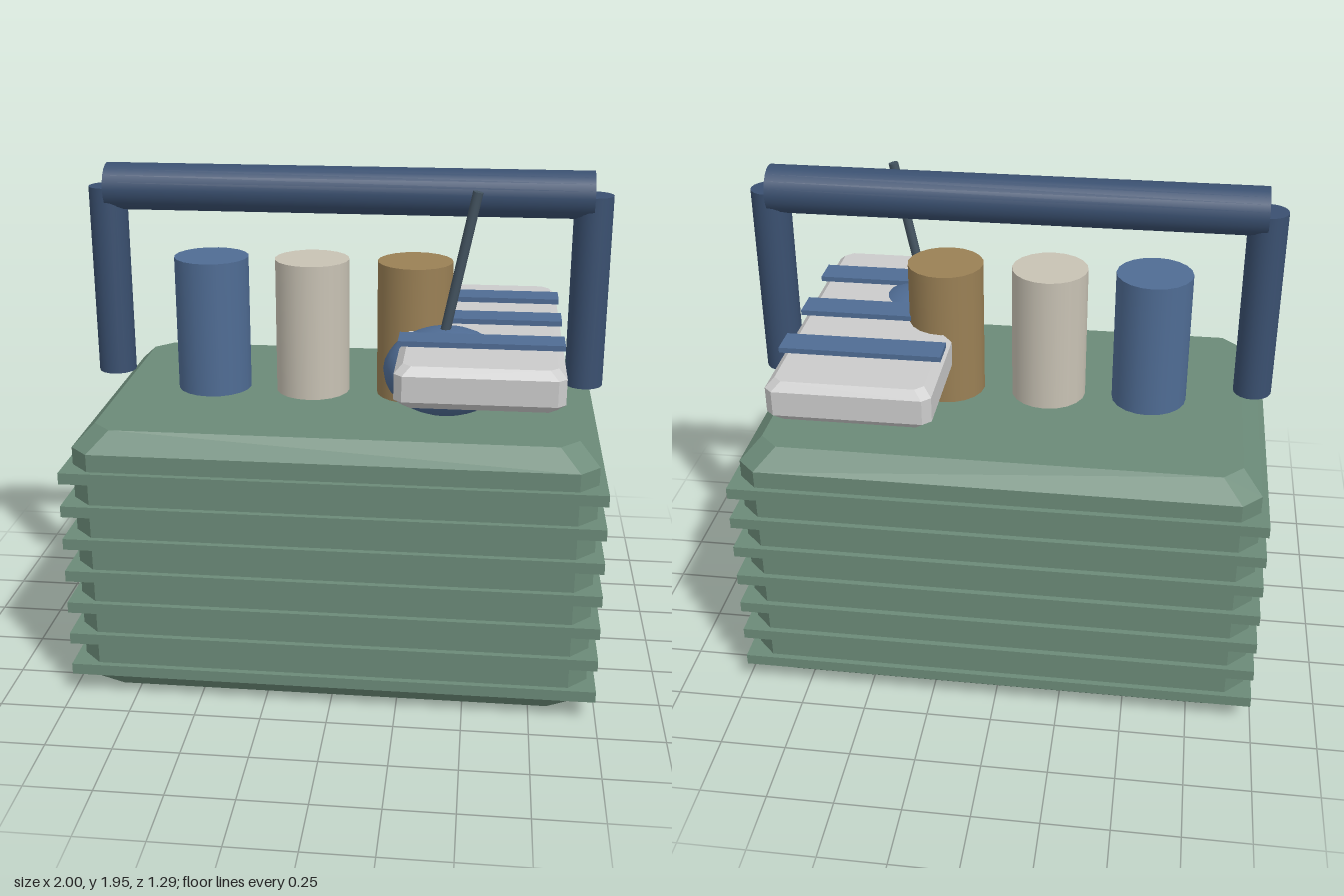
import * as THREE from 'three';
import { ConvexGeometry } from 'three/addons/geometries/ConvexGeometry.js';

const GREEN = 0x6b8a78, NAVY = 0x3a5070, BLUE = 0x4f6c94;
const PALE = 0xc2c6c6, CREAM = 0xc8c2b4, TAN = 0x9a8055, SLATE = 0x435360;

export function createModel() {
  const model = new THREE.Group();
  model.name = 'ribbedCase';

  const add = (name, geometry, color, x, y, z, flat = false) => {
    const material = new THREE.MeshStandardMaterial({ color, flatShading: flat });
    const mesh = new THREE.Mesh(geometry, material);
    mesh.name = name;
    mesh.position.set(x, y, z);
    model.add(mesh);
    return mesh;
  };

  // Box with every edge and corner cut by c
  const chamferBox = (w, h, d, c) => {
    const points = [];
    const ring = (a, b, y) => {
      for (const sx of [-1, 1]) for (const sz of [-1, 1]) {
        points.push(new THREE.Vector3(sx * a, y, sz * (b - c)));
        points.push(new THREE.Vector3(sx * (a - c), y, sz * b));
      }
    };
    for (const s of [-1, 1]) {
      ring(w / 2, d / 2, s * (h / 2 - c));
      ring(w / 2 - c, d / 2 - c, s * h / 2);
    }
    return new ConvexGeometry(points);
  };

  // Case body with seven projecting ribs
  add('body', chamferBox(1.93, 1.06, 1.245, 0.072), GREEN, 0, 0.53, 0, true);
  for (let i = 0; i < 7; i++) {
    add('rib', new THREE.BoxGeometry(1.99, 0.043, 1.29), GREEN, 0, 0.107 + i * 0.132, 0, true);
  }

  // Three canisters standing on the lid
  [[-0.53, BLUE], [-0.135, CREAM], [0.265, TAN]].forEach(([x, color]) => {
    add('canister', new THREE.CylinderGeometry(0.145, 0.145, 0.53, 20), color, x, 1.325, 0);
  });

  // Carrying handle
  const bar = add('handleBar', new THREE.CylinderGeometry(0.09, 0.09, 1.85, 20), NAVY, 0, 1.857, 0);
  bar.rotation.z = Math.PI / 2;
  for (const side of [-1, 1]) {
    add('handlePost', new THREE.CylinderGeometry(0.073, 0.073, 0.74, 20), NAVY, side * 0.927, 1.487, 0);
  }

  // Tray with three straps hovering just above it
  add('tray', chamferBox(0.605, 0.155, 1.21, 0.03), PALE, 0.527, 1.275, 0, true);
  for (const z of [-0.318, 0, 0.318]) {
    add('strap', new THREE.BoxGeometry(0.605, 0.02, 0.12), BLUE, 0.527, 1.372, z, true);
  }

  // Flattened ball with a leaning lever
  const ball = add('leverBall', new THREE.SphereGeometry(0.237, 20, 14), BLUE, 0.397, 1.222, 0.21);
  ball.scale.y = 0.69;
  const low = new THREE.Vector3(0.388, 1.36, 0.21);
  const high = new THREE.Vector3(0.497, 1.9, 0.21);
  const axis = high.clone().sub(low);
  const middle = low.clone().add(high).multiplyScalar(0.5);
  const lever = add('lever', new THREE.CylinderGeometry(0.019, 0.019, axis.length(), 12),
    SLATE, middle.x, middle.y, middle.z);
  lever.quaternion.setFromUnitVectors(new THREE.Vector3(0, 1, 0), axis.normalize());

  return model;
}
